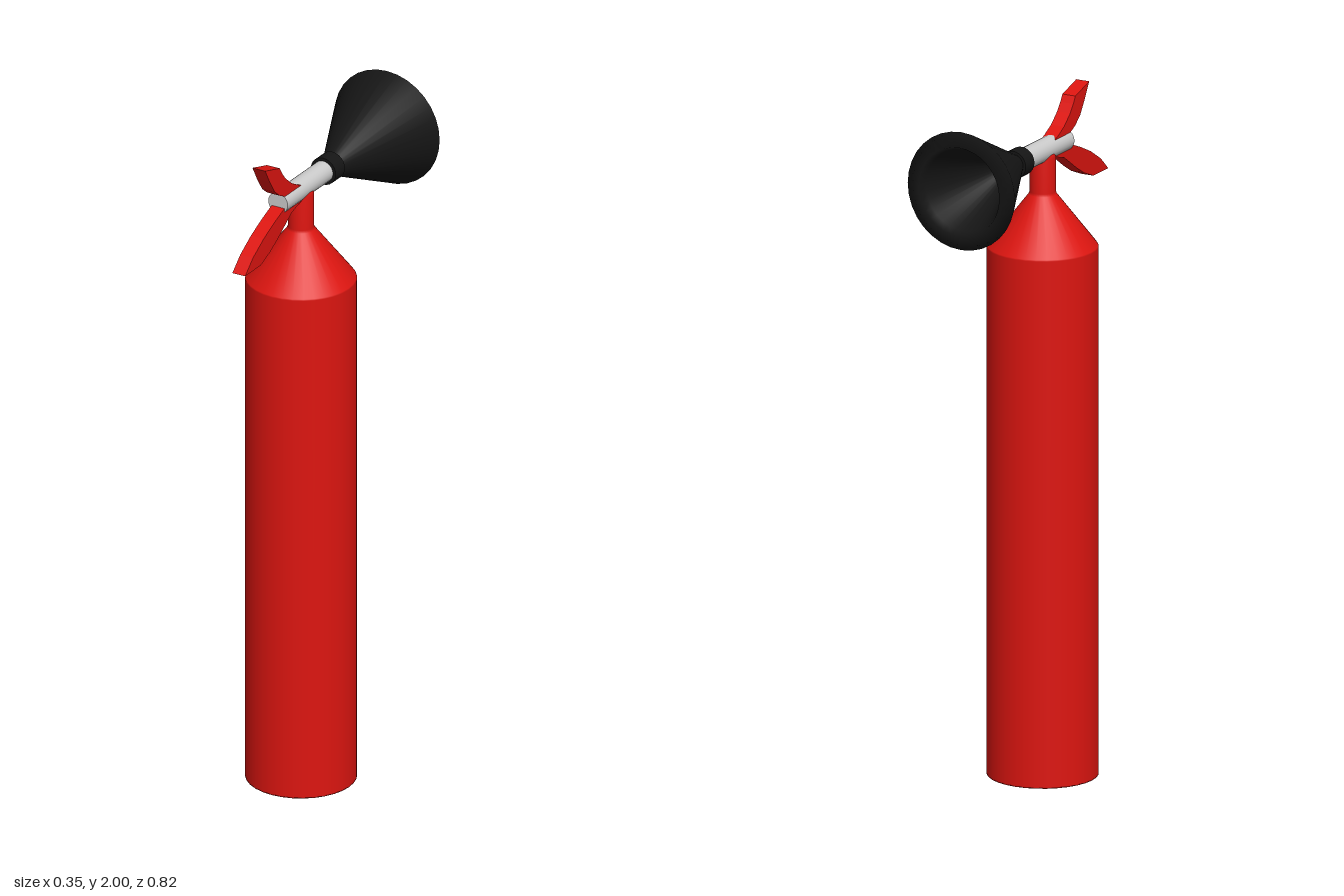
import * as THREE from 'three';

const red = new THREE.MeshStandardMaterial({ color: 0xdd1510, side: THREE.DoubleSide });
const black = new THREE.MeshStandardMaterial({ color: 0x151515, side: THREE.DoubleSide });
const grey = new THREE.MeshStandardMaterial({ color: 0xcccccc });

const PIPE_Y = 1.827;
const BODY_Z = 0.07;

// Turned part from [radius, height] pairs
function turned(name, profile, material, segments = 32) {
  const points = profile.map(([r, h]) => new THREE.Vector2(r, h));
  const mesh = new THREE.Mesh(new THREE.LatheGeometry(points, segments), material);
  mesh.name = name;
  return mesh;
}

// Flat lever cut from a side outline of [z, y] pairs
function lever(name, outline) {
  const width = 0.042;
  const shape = new THREE.Shape(outline.map(([z, y]) => new THREE.Vector2(z, y)));
  const geometry = new THREE.ExtrudeGeometry(shape, { depth: width, bevelEnabled: false });
  geometry.translate(0, 0, -width / 2);
  geometry.rotateY(-Math.PI / 2);
  const mesh = new THREE.Mesh(geometry, red);
  mesh.name = name;
  return mesh;
}

export function createModel() {
  const model = new THREE.Group();
  model.name = 'fireExtinguisher';

  // Tank with sloping shoulder and neck
  const tank = turned('tank', [
    [0, 0], [0.158, 0], [0.158, 0.004], [0.158, 1.546], [0.156, 1.55],
    [0.04, 1.7], [0.037, 1.708], [0.037, 1.81], [0.03, 1.82], [0, 1.82],
  ], red);
  tank.position.z = BODY_Z;

  // Valve pipe, collar and hollow horn share one axis, pointing back
  const nozzle = new THREE.Group();
  nozzle.name = 'nozzle';
  nozzle.position.y = PIPE_Y;
  nozzle.rotation.x = -Math.PI / 2;

  const pipe = new THREE.Mesh(new THREE.CylinderGeometry(0.032, 0.032, 0.265, 24), grey);
  pipe.name = 'valvePipe';
  pipe.position.y = -0.0625;

  const collar = new THREE.Mesh(new THREE.CylinderGeometry(0.041, 0.041, 0.05, 24), black);
  collar.name = 'collar';
  collar.position.y = 0.075;

  const horn = turned('horn', [
    [0.033, 0.1], [0.173, 0.396], [0.13, 0.409], [0.12, 0.385], [0.025, 0.15], [0, 0.15],
  ], black);
  nozzle.add(pipe, collar, horn);

  // Squeeze levers
  const upperLever = lever('upperLever', [
    [0.1, 1.85], [0.19, 1.85], [0.22, 1.865], [0.247, 1.887], [0.275, 1.93], [0.299, 1.973],
    [0.22, 1.95], [0.208, 1.93], [0.19, 1.907], [0.155, 1.877], [0.117, 1.857],
  ]);
  const lowerLever = lever('lowerLever', [
    [0.1, 1.83], [0.1, 1.802], [0.154, 1.787], [0.19, 1.763], [0.228, 1.737],
    [0.27, 1.712], [0.323, 1.69], [0.408, 1.69], [0.365, 1.73], [0.307, 1.766],
    [0.25, 1.793], [0.19, 1.817], [0.15, 1.83],
  ]);

  model.add(tank, nozzle, upperLever, lowerLever);
  return model;
}
